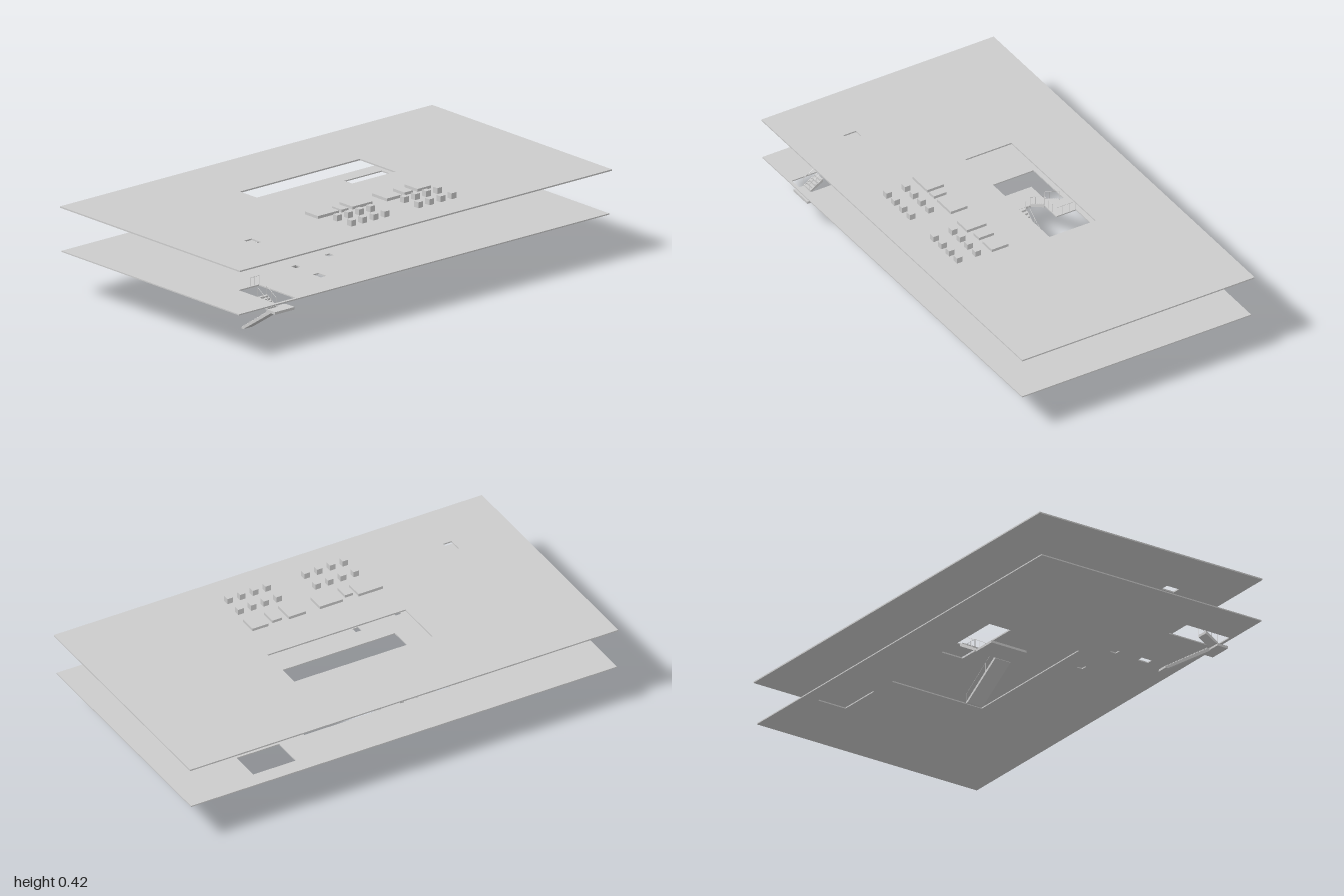
import * as THREE from 'three';

const mat = new THREE.MeshStandardMaterial({ color: 0xcccccc, flatShading: true, side: THREE.DoubleSide });

function add(parent, name, geometry) {
  const mesh = new THREE.Mesh(geometry, mat);
  mesh.name = name;
  parent.add(mesh);
  return mesh;
}

// Box given by its limits on each axis
function box(parent, name, x0, x1, y0, y1, z0, z1) {
  const m = add(parent, name, new THREE.BoxGeometry(x1 - x0, y1 - y0, z1 - z0));
  m.position.set((x0 + x1) / 2, (y0 + y1) / 2, (z0 + z1) / 2);
  return m;
}

const rect = (x0, x1, z0, z1) => [[x0, z0], [x1, z0], [x1, z1], [x0, z1]];
const toPoints = (list) => list.map(([x, z]) => new THREE.Vector2(x, -z));

// Flat floor plate with openings, lying in the xz plane
function slab(parent, name, outline, holes, y, thickness) {
  const shape = new THREE.Shape(toPoints(outline));
  for (const h of holes) shape.holes.push(new THREE.Path(toPoints(h)));
  const g = new THREE.ExtrudeGeometry(shape, { depth: thickness, bevelEnabled: false });
  g.rotateX(-Math.PI / 2);
  add(parent, name, g).position.y = y;
}

// Flight of steps climbing along local +x, its width along local +z
function flight(parent, name, run, rise, steps, width) {
  const group = new THREE.Group();
  group.name = name;
  const t = 0.011, side = 0.003;
  const zigzag = [[0, 0]];
  for (let i = 0; i < steps; i++) {
    zigzag.push([run * i / steps, rise * (i + 1) / steps], [run * (i + 1) / steps, rise * (i + 1) / steps]);
  }
  zigzag.push([run, rise - t], [t, 0]);
  const stringer = [[0, 0], [t, 0], [run, rise - t], [run, rise + 0.003], [0, 0.006]];
  const extrude = (pts, depth) => new THREE.ExtrudeGeometry(
    new THREE.Shape(pts.map(([x, y]) => new THREE.Vector2(x, y))), { depth, bevelEnabled: false });
  add(group, 'steps', extrude(zigzag, width - 2 * side)).position.z = side;
  for (const z of [0, width - side]) add(group, 'stringer', extrude(stringer, side)).position.z = z;
  parent.add(group);
  return group;
}

// Thin rod between two points
function rod(parent, name, a, b) {
  const p = new THREE.Vector3(...a), q = new THREE.Vector3(...b);
  const m = add(parent, name, new THREE.CylinderGeometry(0.001, 0.001, p.distanceTo(q), 6));
  m.position.copy(p).lerp(q, 0.5);
  m.quaternion.setFromUnitVectors(new THREE.Vector3(0, 1, 0), q.sub(p).normalize());
}

// Handrail from a to b with evenly spaced posts
function railing(parent, a, b, height, posts) {
  const up = ([x, y, z]) => [x, y + height, z];
  rod(parent, 'handrail', up(a), up(b));
  for (let i = 0; i < posts; i++) {
    const p = a.map((v, k) => v + (b[k] - v) * i / (posts - 1));
    rod(parent, 'railPost', p, up(p));
  }
}

export function createModel() {
  const model = new THREE.Group();

  // Roof plate with atrium opening and hatch
  slab(model, 'roofSlab', rect(-1, 1, -0.555, 0.553), [
    rect(-0.325, 0.32, -0.22, 0),
    rect(-0.73, -0.69, 0.27, 0.33),
  ], 0.386, 0.006);

  // Floor plate with atrium, stairwell and shaft openings
  slab(model, 'floorSlab', rect(-1, 0.99, -0.545, 0.548), [
    rect(-0.34, 0.34, -0.335, 0.11),
    rect(0.46, 0.66, -0.476, -0.34),
    rect(-0.795, -0.685, 0.31, 0.535),
    rect(-0.435, -0.405, 0.355, 0.405),
    rect(-0.232, -0.205, 0.195, 0.222),
    rect(-0.432, -0.405, 0.218, 0.246),
  ], 0.2, 0.005);

  // Large rooftop units
  const units = [
    [-0.32, -0.207, 0.175, 0.255], [-0.193, -0.155, 0.195, 0.255], [-0.134, -0.027, 0.175, 0.255],
    [0.04, 0.118, 0.175, 0.267], [0.145, 0.19, 0.185, 0.255], [0.215, 0.288, 0.175, 0.255],
  ];
  for (const [x0, x1, z0, z1] of units) box(model, 'roofUnit', x0, x1, 0.39, 0.404, z0, z1);

  // Small rooftop units in two rows
  for (const start of [-0.27, 0.09]) {
    for (let i = 0; i < 4; i++) {
      for (const z of [0.317, 0.405]) {
        const x = start + i * 0.0595;
        box(model, 'smallRoofUnit', x - 0.013, x + 0.013, 0.39, 0.417, z - 0.013, z + 0.013);
      }
    }
  }

  // Main stair in the atrium
  const mainStair = new THREE.Group();
  mainStair.name = 'mainStair';
  model.add(mainStair);
  const lower = flight(mainStair, 'lowerFlight', 0.205, 0.135, 15, 0.075);
  lower.rotation.y = Math.PI;
  lower.position.set(-0.015, 0, -0.145);
  flight(mainStair, 'upperFlight', 0.11, 0.068, 8, 0.075).position.set(-0.22, 0.136, -0.317);
  box(mainStair, 'landing', -0.33, -0.22, 0.126, 0.136, -0.318, -0.145);
  box(mainStair, 'topLanding', -0.11, -0.015, 0.2, 0.205, -0.335, -0.241);
  for (const z of [-0.148, -0.217]) railing(mainStair, [-0.015, 0.005, z], [-0.21, 0.133, z], 0.04, 4);
  for (const z of [-0.245, -0.314]) railing(mainStair, [-0.22, 0.137, z], [-0.11, 0.205, z], 0.04, 4);
  railing(mainStair, [-0.11, 0.205, -0.243], [-0.017, 0.205, -0.243], 0.04, 4);
  railing(mainStair, [-0.017, 0.205, -0.243], [-0.017, 0.205, -0.335], 0.04, 4);

  // Side stair near the front corner
  const sideStair = new THREE.Group();
  sideStair.name = 'sideStair';
  model.add(sideStair);
  const sideLower = flight(sideStair, 'lowerFlight', 0.22, 0.146, 15, 0.05);
  sideLower.rotation.y = -Math.PI / 2;
  sideLower.position.set(-0.685, 0.016, 0.26);
  const sideUpper = flight(sideStair, 'upperFlight', 0.062, 0.04, 5, 0.05);
  sideUpper.rotation.y = Math.PI / 2;
  sideUpper.position.set(-0.79, 0.162, 0.482);
  box(sideStair, 'landing', -0.79, -0.685, 0.153, 0.164, 0.478, 0.53);
  for (const x of [-0.788, -0.742]) {
    railing(sideStair, [x, 0.164, 0.482], [x, 0.202, 0.42], 0.04, 3);
  }
  railing(sideStair, [-0.735, 0.205, 0.313], [-0.685, 0.205, 0.313], 0.04, 3);

  return model;
}
